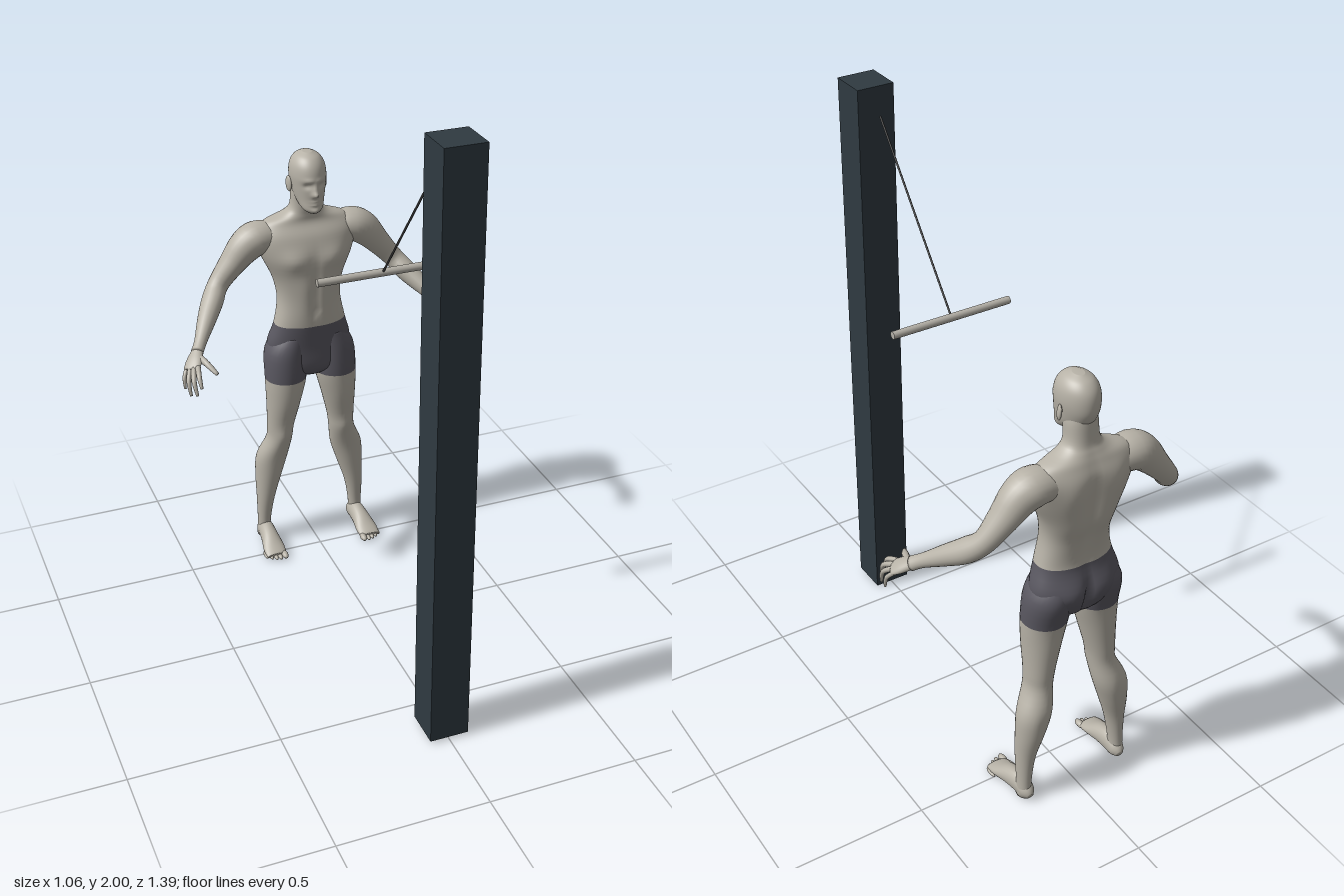
import * as THREE from 'three';

const mat = (name, color) => Object.assign(new THREE.MeshStandardMaterial({ color }), { name });
const V = (x, y, z) => new THREE.Vector3(x, y, z);

// Catmull-Rom through equal-length arrays of numbers
function sample(keys, u) {
  const last = keys.length - 1;
  const i = Math.min(Math.floor(u), last - 1), t = u - i;
  const k = n => keys[Math.max(0, Math.min(last, n))];
  const [p, q, r, s] = [k(i - 1), k(i), k(i + 1), k(i + 2)];
  return q.map((_, c) => 0.5 * (2 * q[c] + (r[c] - p[c]) * t +
    (2 * p[c] - 5 * q[c] + 4 * r[c] - s[c]) * t * t +
    (3 * q[c] - p[c] - 3 * r[c] + s[c]) * t * t * t));
}

// Skin rings [x, y, z, half width, half depth] into a closed smooth body.
// wide: direction of the width; axis: fixed ring normal; split: key where the second material starts;
// bumps: [x, y, side (+1 front, -1 back), spread x, spread y, height], mirrored in x
function loft(keys, { wide = V(1, 0, 0), axis = null, sides = 24, sub = 4, power = 2, bumps = [], split = 0 } = {}) {
  const pos = [], idx = [], n = (keys.length - 1) * sub;
  for (let row = -1; row <= n + 1; row++) {
    const u = Math.max(0, Math.min(n, row)) / sub;
    const [x, y, z, a, b] = sample(keys, u);
    const lo = sample(keys, Math.max(0, u - 0.05)), hi = sample(keys, Math.min(n / sub, u + 0.05));
    const T = axis || V(hi[0] - lo[0], hi[1] - lo[1], hi[2] - lo[2]).normalize();
    const X = wide.clone().addScaledVector(T, -wide.dot(T)).normalize();
    const Z = T.clone().cross(X);
    const size = row < 0 || row > n ? 0 : 1;
    for (let j = 0; j < sides; j++) {
      const th = (j / sides) * Math.PI * 2;
      const [c, s] = [Math.cos(th), Math.sin(th)].map(v => Math.sign(v) * Math.abs(v) ** (2 / power));
      const p = V(x, y, z).addScaledVector(X, c * a * size).addScaledVector(Z, s * b * size);
      const pz = p.z;
      for (const [bx, by, side, sx, sy, h] of bumps) {
        const w = Math.max(0, side * (pz - z) / b);
        p.z += side * h * w * Math.exp(-(((Math.abs(p.x) - bx) / sx) ** 2) - ((p.y - by) / sy) ** 2);
      }
      pos.push(p.x, p.y, p.z);
    }
  }
  for (let r = 0; r < n + 2; r++) for (let j = 0; j < sides; j++) {
    const a = r * sides + j, b = r * sides + (j + 1) % sides;
    idx.push(a, b, b + sides, a, b + sides, a + sides);
  }
  const g = new THREE.BufferGeometry();
  g.setAttribute('position', new THREE.Float32BufferAttribute(pos, 3));
  g.setIndex(idx);
  g.computeVertexNormals();
  if (split) {
    const cut = (split * sub + 1) * sides * 6;
    g.addGroup(0, cut, 0);
    g.addGroup(cut, idx.length - cut, 1);
  }
  return g;
}

export function createModel() {
  const skin = mat('skin', 0xb7b2a7), shorts = mat('shorts', 0x5a5861);
  const post = mat('post', 0x2f3a41), cable = mat('cable', 0x3a3a3a), barMat = mat('bar', 0xb5b1a8);
  const root = new THREE.Group(), man = new THREE.Group();
  man.name = 'man';
  root.add(man);
  const add = (parent, name, geo, m) => {
    const mesh = new THREE.Mesh(geo, m);
    mesh.name = name;
    parent.add(mesh);
    return mesh;
  };
  const up = V(0, 1, 0);

  // Post, cable and handle bar
  add(root, 'post', new THREE.BoxGeometry(0.13, 1.99, 0.13), post).position.set(0, 1.005, 0.63);
  const from = V(0, 1.91, 0.54), to = V(0, 1.385, 0.115);
  const line = add(root, 'cable', new THREE.CylinderGeometry(0.0035, 0.0035, from.distanceTo(to), 8), cable);
  line.position.copy(from).lerp(to, 0.5);
  line.quaternion.setFromUnitVectors(up, from.clone().sub(to).normalize());
  const bar = add(root, 'handleBar', new THREE.CylinderGeometry(0.013, 0.013, 0.43, 20), barMat);
  bar.rotation.z = Math.PI / 2;
  bar.position.set(0, 1.385, 0.113);

  // Torso: pelvis in shorts, bare above, ending in the neck
  add(man, 'torso', loft([
    [0, 0.705, -0.58, 0.05, 0.045], [0, 0.74, -0.585, 0.125, 0.074], [0, 0.82, -0.595, 0.153, 0.086],
    [0, 0.91, -0.58, 0.13, 0.076], [0, 1.0, -0.584, 0.114, 0.08], [0, 1.08, -0.593, 0.126, 0.092],
    [0, 1.17, -0.597, 0.165, 0.093], [0, 1.24, -0.606, 0.182, 0.082], [0, 1.285, -0.612, 0.155, 0.06],
    [0, 1.313, -0.607, 0.085, 0.052], [0, 1.34, -0.6, 0.056, 0.048], [0, 1.4, -0.592, 0.051, 0.048],
    [0, 1.43, -0.59, 0.045, 0.045],
  ], {
    axis: up, sides: 64, sub: 5, power: 2.25, split: 3,
    bumps: [
      [0.075, 1.165, 1, 0.05, 0.035, 0.014],   // chest
      [0, 1.06, 1, 0.012, 0.1, -0.006],        // belly line
      [0.04, 1.02, 1, 0.03, 0.09, 0.004],      // belly muscles
      [0, 0.97, 1, 0.009, 0.009, -0.008],      // navel
      [0, 1.1, -1, 0.022, 0.15, -0.015],       // spine
      [0.08, 1.2, -1, 0.04, 0.06, 0.009],      // shoulder blades
      [0, 0.8, -1, 0.015, 0.06, -0.022],       // seat cleft
      [0.065, 0.81, -1, 0.045, 0.05, 0.01],    // seat
    ],
  }), [shorts, skin]);

  // Head with a face shaped by bumps
  add(man, 'head', loft([
    [0, 1.343, -0.517, 0.02, 0.02], [0, 1.358, -0.529, 0.037, 0.04], [0, 1.39, -0.558, 0.05, 0.068],
    [0, 1.43, -0.569, 0.058, 0.081], [0, 1.47, -0.571, 0.062, 0.083], [0, 1.505, -0.572, 0.057, 0.074],
    [0, 1.53, -0.572, 0.041, 0.053], [0, 1.544, -0.572, 0.016, 0.022],
  ], {
    axis: up, sides: 72, sub: 8,
    bumps: [
      [0, 1.413, 1, 0.012, 0.01, 0.016], [0, 1.43, 1, 0.009, 0.018, 0.01],   // nose
      [0.025, 1.443, 1, 0.014, 0.01, -0.009], [0.022, 1.462, 1, 0.02, 0.008, 0.004], // eyes, brow
      [0, 1.387, 1, 0.018, 0.004, 0.004], [0, 1.376, 1, 0.016, 0.004, 0.005], // lips
      [0, 1.353, 1, 0.018, 0.01, 0.007],                                     // chin
    ],
  }), skin);

  for (const s of [1, -1]) {
    const side = s > 0 ? 'left' : 'right';
    const flip = keys => keys.map(([x, ...rest]) => [x * s, ...rest]);

    const ear = add(man, side + 'Ear', new THREE.SphereGeometry(1, 16, 12), skin);
    ear.scale.set(0.007, 0.028, 0.015);
    ear.position.set(s * 0.065, 1.432, -0.578);
    ear.rotation.set(-0.15, -s * 0.35, 0);

    // Arm from shoulder to wrist
    add(man, side + 'Arm', loft(flip([
      [0.11, 1.232, -0.615, 0.05, 0.055], [0.175, 1.235, -0.611, 0.06, 0.066], [0.22, 1.21, -0.608, 0.058, 0.06],
      [0.27, 1.155, -0.606, 0.045, 0.05], [0.325, 1.09, -0.596, 0.036, 0.038], [0.36, 1.047, -0.557, 0.037, 0.041],
      [0.4, 1.006, -0.5, 0.031, 0.033], [0.44, 0.964, -0.44, 0.021, 0.023], [0.462, 0.942, -0.41, 0.02, 0.024],
    ]), { wide: V(s * 0.7, 0.7, 0) }), skin);

    // Palm, four fingers and thumb
    const wide = V(-s * 0.033, 0.01, 0.04);
    add(man, side + 'Palm', loft(flip([
      [0.445, 0.959, -0.432, 0.02, 0.017], [0.462, 0.942, -0.41, 0.023, 0.016],
      [0.48, 0.925, -0.384, 0.031, 0.015], [0.495, 0.911, -0.364, 0.031, 0.011], [0.5, 0.906, -0.358, 0.026, 0.008],
    ]), { wide }), skin);
    [
      [[0.478, 0.918, -0.349], [0.486, 0.9, -0.308], [0.485, 0.868, -0.285], 0.0085],
      [[0.49, 0.913, -0.356], [0.504, 0.888, -0.312], [0.5, 0.842, -0.29], 0.0085],
      [[0.5, 0.909, -0.367], [0.517, 0.88, -0.331], [0.515, 0.833, -0.315], 0.008],
      [[0.508, 0.905, -0.381], [0.523, 0.88, -0.362], [0.524, 0.843, -0.354], 0.007],
      [[0.465, 0.935, -0.395], [0.447, 0.926, -0.345], [0.425, 0.904, -0.302], 0.011],
    ].forEach(([base, mid, tip, r], i) => add(man, side + (i < 4 ? 'Finger' : 'Thumb'), loft(flip([
      [...base, r * 1.1, r * 1.1], [...mid, r, r], [...tip, r * 0.6, r * 0.6],
    ]), { wide, sides: 10 }), skin));

    // Leg: bare up to the hem, then the leg of the shorts
    add(man, side + 'Leg', loft(flip([
      [0.183, 0.015, -0.62, 0.025, 0.03], [0.182, 0.08, -0.617, 0.024, 0.029], [0.175, 0.18, -0.612, 0.033, 0.038],
      [0.16, 0.28, -0.615, 0.049, 0.051], [0.145, 0.36, -0.612, 0.058, 0.056], [0.122, 0.44, -0.592, 0.047, 0.053],
      [0.116, 0.5, -0.588, 0.049, 0.056], [0.105, 0.6, -0.579, 0.062, 0.069], [0.095, 0.695, -0.578, 0.075, 0.076],
      [0.088, 0.8, -0.59, 0.076, 0.085], [0.065, 0.87, -0.586, 0.055, 0.07],
    ]), {
      axis: up, sides: 32, split: 8,
      bumps: [[0.12, 0.47, 1, 0.03, 0.03, 0.006], [0.15, 0.34, -1, 0.012, 0.05, -0.003]], // knee, calf
    }), [skin, shorts]);

    // Foot and toes
    add(man, side + 'Foot', loft(flip([
      [0.179, 0.022, -0.653, 0.012, 0.014], [0.18, 0.03, -0.635, 0.025, 0.029], [0.181, 0.04, -0.6, 0.029, 0.039],
      [0.183, 0.035, -0.55, 0.033, 0.034], [0.185, 0.022, -0.5, 0.04, 0.021], [0.186, 0.014, -0.468, 0.038, 0.013],
      [0.186, 0.012, -0.458, 0.034, 0.009],
    ]), {}), skin);
    for (let i = 0; i < 5; i++) {
      const toe = add(man, side + 'Toe', new THREE.SphereGeometry(1, 12, 8), skin);
      const r = i ? 0.0085 - i * 0.0003 : 0.012;
      toe.scale.set(r, r * 0.95, 0.024);
      toe.position.set(s * (0.157 + i * 0.0155 + (i ? 0.003 : 0)), r, -0.455 - i * i * 0.0017);
    }
  }
  return root;
}
